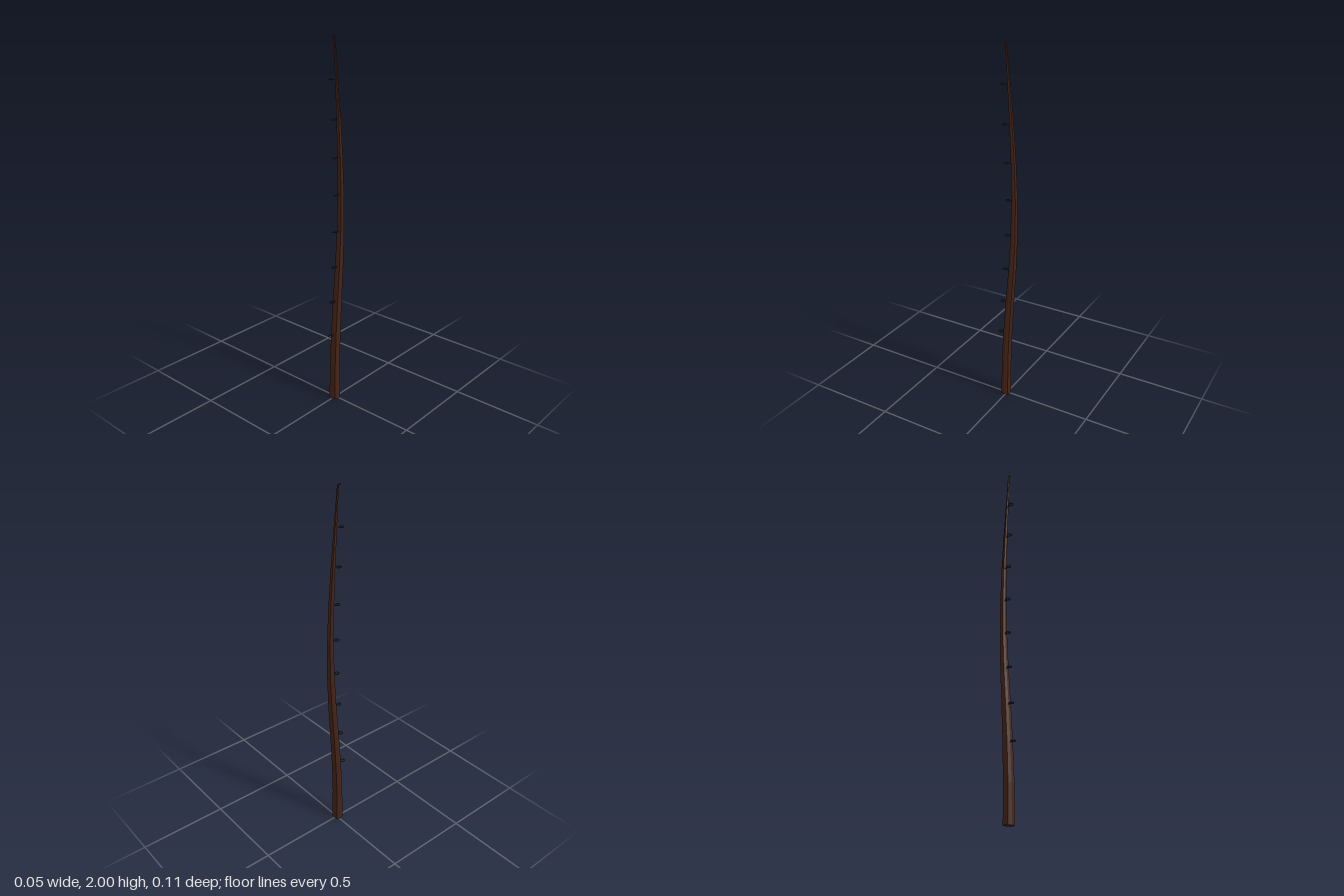
import * as THREE from 'three';

export function createModel() {
  const group = new THREE.Group();
  const wood = new THREE.MeshStandardMaterial({ color: 0x452417, flatShading: true });
  const metal = new THREE.MeshStandardMaterial({ color: 0x2b2d30 });

  // Depth of the rod's centre line at every 0.2 of height
  const bend = [0.006, 0.005, -0.003, -0.016, -0.031, -0.041, -0.0425, -0.036, -0.024, -0.009, 0.007];
  const radiusAt = (y) => 0.027 - 0.0065 * y - 0.0025 * y * y;
  const height = 1.995;

  // Tapered, gently bowed eight-sided shaft with slightly squared corners
  const shaft = new THREE.CylinderGeometry(1, 1, height, 8, 10);
  shaft.translate(0, height / 2, 0);
  const p = shaft.attributes.position;
  for (let i = 0; i < p.count; i++) {
    const x = p.getX(i), y = p.getY(i), z = p.getZ(i);
    const corner = Math.abs(x * z) > 0.1;
    const r = radiusAt(y);
    p.setX(i, x * r * (corner ? 1.08 : 1));
    p.setZ(i, z * r * (corner ? 1.08 : 0.88) + bend[Math.round((y / height) * 10)]);
  }
  shaft.computeVertexNormals();
  const rod = new THREE.Mesh(shaft, wood);
  rod.name = 'rod';
  group.add(rod);

  // Line guides: a flat ring on a short stem in front of the shaft
  const ringRadius = 0.0115, wire = 0.0028;
  for (let k = 2; k <= 9; k++) {
    const y = 0.4 + (k - 2) * 0.1987;
    const start = bend[k] + radiusAt(y) * 0.6;
    const centre = bend[k] + 0.034 + radiusAt(y) * 0.45;
    const guide = new THREE.Group();
    guide.name = 'lineGuide' + (k - 1);

    const ring = new THREE.Mesh(new THREE.TorusGeometry(ringRadius, wire, 6, 16), metal);
    ring.name = 'guideRing';
    ring.rotation.x = Math.PI / 2;
    ring.position.z = centre;

    const length = centre - ringRadius - start;
    const stem = new THREE.Mesh(new THREE.CylinderGeometry(wire, wire, length, 6), metal);
    stem.name = 'guideStem';
    stem.rotation.x = Math.PI / 2;
    stem.position.z = start + length / 2;

    guide.add(ring, stem);
    guide.position.y = y;
    group.add(guide);
  }

  // Small tilted eye at the tip
  const tip = new THREE.Mesh(new THREE.TorusGeometry(0.005, 0.0015, 6, 12), metal);
  tip.name = 'tipEye';
  tip.rotation.x = Math.PI / 2 - 0.5;
  tip.position.set(0, 1.996, 0.015);
  group.add(tip);

  return group;
}
